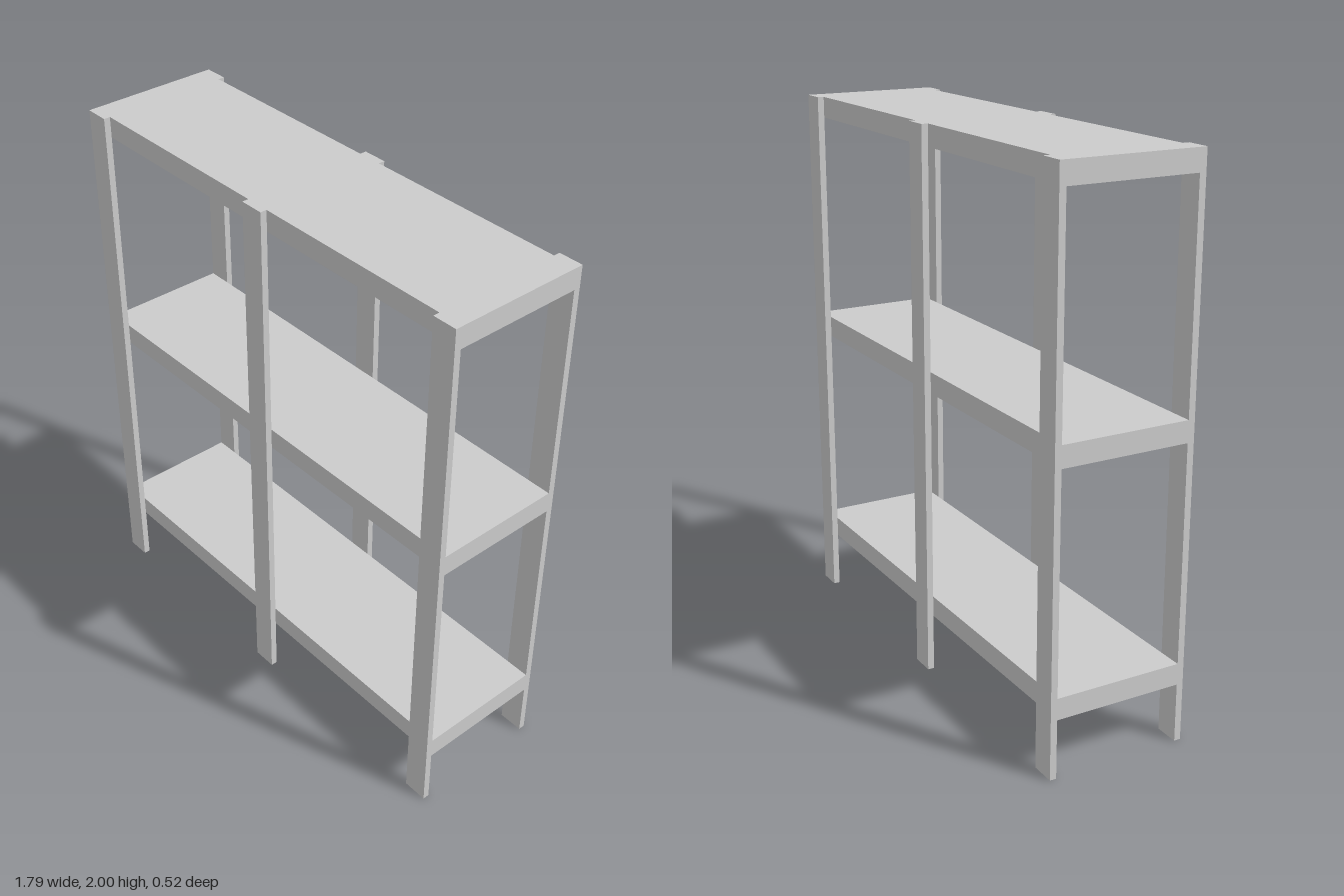
import * as THREE from 'three';

export function createModel() {
  const model = new THREE.Group();
  model.name = 'shelvingUnit';
  const mat = new THREE.MeshStandardMaterial({ color: 0xcccccc, flatShading: true });

  const W = 1.79, D = 0.47;        // shelf width and depth
  const H = 0.077, T = 0.024;      // shelf frame height, timber thickness
  const BOARD = 0.012;             // deck thickness
  const POST_W = 0.09;

  const box = (parent, name, w, h, d, x, y, z) => {
    const mesh = new THREE.Mesh(new THREE.BoxGeometry(w, h, d), mat);
    mesh.name = name;
    mesh.position.set(x, y, z);
    parent.add(mesh);
  };

  // Six posts, flat against the front and back of the shelves
  for (const z of [-1, 1]) {
    for (const x of [-1, 0, 1]) {
      box(model, 'post', POST_W, 2, T, x * (W - POST_W) / 2, 1, z * (D + T) / 2);
    }
  }

  // Three shelves: a deck on two rails and seven cross members
  for (const top of [0.29, 1.145, 2]) {
    const shelf = new THREE.Group();
    shelf.name = 'shelf';
    shelf.position.y = top;
    model.add(shelf);

    box(shelf, 'deck', W, BOARD, D, 0, -BOARD / 2, 0);
    const h = H - BOARD, y = -BOARD - h / 2;
    for (const z of [-1, 1]) box(shelf, 'rail', W, h, T, 0, y, z * (D - T) / 2);
    for (let i = 0; i < 7; i++) {
      const x = (W - T) * (i / 6 - 0.5);
      box(shelf, 'crossMember', T, h, D - 2 * T, x, y, 0);
    }
  }
  return model;
}
